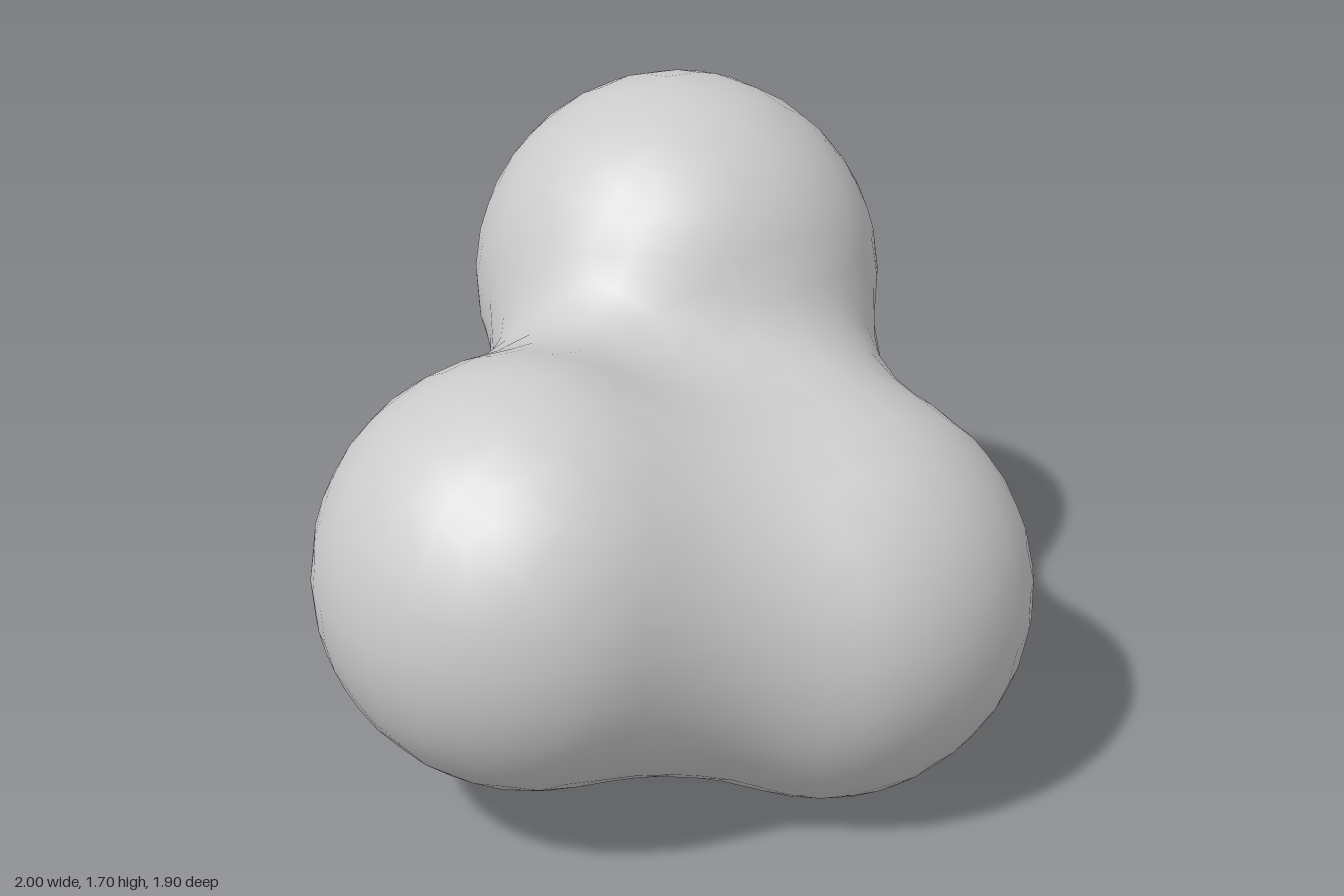
import * as THREE from 'three';

// Three equal balls that melt into one another
const BALLS = [
  new THREE.Vector3(-0.445, 0.72, 0.06),
  new THREE.Vector3(0.445, 1.152, -0.395),
  new THREE.Vector3(0.255, 0.558, 0.39),
];
const RADIUS = 0.556;
const REACH = RADIUS * 1.63; // distance at which a ball stops pulling on the others
const LEVEL = (1 - 1 / 1.63 ** 2) ** 3;

// Soft field, positive inside; optionally writes its gradient
function field(p, gradient) {
  let sum = -LEVEL;
  if (gradient) gradient.set(0, 0, 0);
  for (const c of BALLS) {
    const q = 1 - p.distanceToSquared(c) / REACH ** 2;
    if (q <= 0) continue;
    sum += q ** 3;
    if (gradient) gradient.addScaledVector(p.clone().sub(c), (-6 * q * q) / REACH ** 2);
  }
  return sum;
}

// One vertex per grid cell crossed by the skin, one quad per crossed grid edge
function blendedSkin(step) {
  const size = [Math.ceil(2.3 / step), Math.ceil(2.1 / step), Math.ceil(2.3 / step)];
  const at = (i) => new THREE.Vector3(-1.15 + i[0] * step, -0.2 + i[1] * step, -1.15 + i[2] * step);
  const shift = (i, axis, n) => i.map((v, k) => (k === axis ? v + n : v));
  const positions = [], normals = [], indices = [];
  const cells = new Map();
  const g = new THREE.Vector3();

  function cellVertex(cell) {
    const key = cell.join();
    if (cells.has(key)) return cells.get(key);
    // Average the crossings on the twelve cell edges
    const p = new THREE.Vector3();
    let count = 0;
    for (let a = 0; a < 3; a++) {
      for (let k = 0; k < 4; k++) {
        const start = shift(shift(cell, (a + 1) % 3, k & 1), (a + 2) % 3, k >> 1);
        const p0 = at(start), p1 = at(shift(start, a, 1));
        const f0 = field(p0), f1 = field(p1);
        if (f0 > 0 === f1 > 0) continue;
        p.add(p0.lerp(p1, f0 / (f0 - f1)));
        count++;
      }
    }
    p.divideScalar(count);
    // Settle the vertex exactly on the skin
    for (let n = 0; n < 4; n++) {
      const f = field(p, g);
      p.addScaledVector(g, -f / Math.max(g.lengthSq(), 0.05));
    }
    field(p, g);
    g.normalize().negate();
    const index = positions.length / 3;
    positions.push(p.x, p.y, p.z);
    normals.push(g.x, g.y, g.z);
    cells.set(key, index);
    return index;
  }

  for (let x = 1; x < size[0]; x++) {
    for (let y = 1; y < size[1]; y++) {
      for (let z = 1; z < size[2]; z++) {
        const i = [x, y, z];
        const inside = field(at(i)) > 0;
        for (let a = 0; a < 3; a++) {
          if (field(at(shift(i, a, 1))) > 0 === inside) continue;
          const b = (a + 1) % 3, c = (a + 2) % 3;
          const quad = [i, shift(i, b, -1), shift(shift(i, b, -1), c, -1), shift(i, c, -1)].map(cellVertex);
          if (!inside) quad.reverse();
          indices.push(quad[0], quad[1], quad[2], quad[0], quad[2], quad[3]);
        }
      }
    }
  }

  const geometry = new THREE.BufferGeometry();
  geometry.setAttribute('position', new THREE.Float32BufferAttribute(positions, 3));
  geometry.setAttribute('normal', new THREE.Float32BufferAttribute(normals, 3));
  geometry.setIndex(indices);
  return geometry;
}

export function createModel() {
  const group = new THREE.Group();
  group.name = 'blendedBalls';
  const skin = new THREE.Mesh(blendedSkin(0.11), new THREE.MeshStandardMaterial({ color: 0xcccccc }));
  skin.name = 'ballCluster';
  group.add(skin);
  return group;
}
